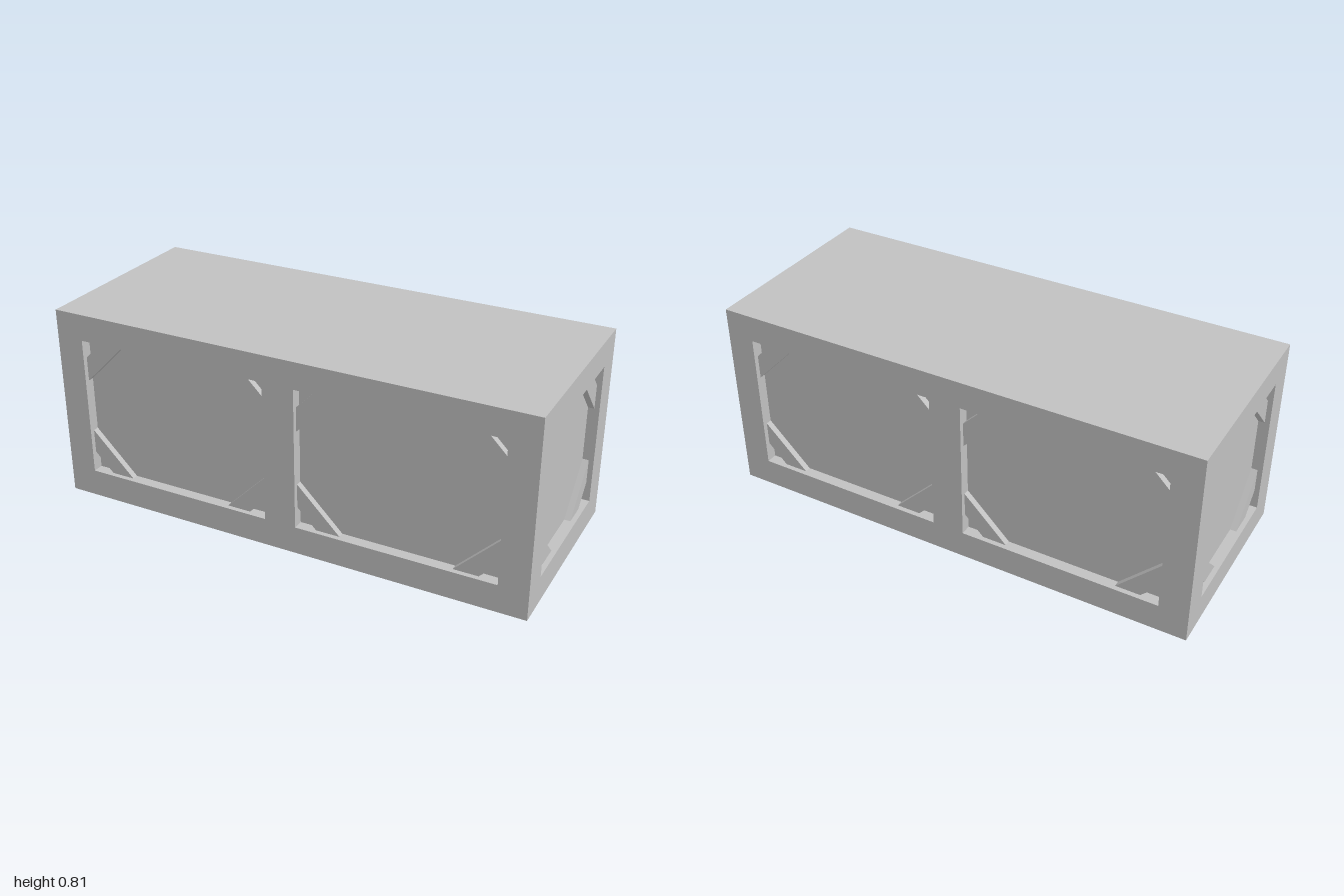
import * as THREE from 'three';

const W = 2, H = 0.81, D = 0.83;       // overall size
const RECESS = 0.045, BRACE = 0.025;   // panel recess and brace thickness
const Y0 = 0.115, Y1 = 0.7;            // bottom and top of every opening

const grey = new THREE.MeshStandardMaterial({ color: 0xc0c0c0 });
grey.name = 'light grey';

function polygon(points, Type = THREE.Shape) {
  return new Type(points.map(([x, y]) => new THREE.Vector2(x, y)));
}

function rect(x0, y0, x1, y1, Type) {
  return polygon([[x0, y0], [x1, y0], [x1, y1], [x0, y1]], Type);
}

function slab(name, shape, depth) {
  const geometry = new THREE.ExtrudeGeometry(shape, { depth, bevelEnabled: false });
  const mesh = new THREE.Mesh(geometry, grey);
  mesh.name = name;
  return mesh;
}

// One wall: a frame with openings and a diagonal brace across each corner
function wall(name, width, openings) {
  const group = new THREE.Group();
  group.name = name;
  const frame = rect(-width / 2, 0, width / 2, H);
  for (const [x0, x1] of openings) {
    frame.holes.push(rect(x0, Y0, x1, Y1, THREE.Path));
    for (const [cx, sx] of [[x0, 1], [x1, -1]]) {
      for (const [cy, sy] of [[Y0, 1], [Y1, -1]]) {
        const band = [[0.08, 0], [0.18, 0], [0, 0.18], [0, 0.08]];
        group.add(slab('cornerBrace', polygon(band.map(([u, v]) => [cx + sx * u, cy + sy * v])), BRACE));
      }
    }
  }
  group.add(slab('wallFrame', frame, RECESS));
  return group;
}

export function createModel() {
  const model = new THREE.Group();
  model.name = 'container';

  // Solid core, whose sides form the recessed panels
  const core = new THREE.Mesh(new THREE.BoxGeometry(W - 2 * RECESS, H, D - 2 * RECESS), grey);
  core.name = 'core';
  core.position.y = H / 2;
  model.add(core);

  // Long walls at front and back, short walls at the ends
  for (const turn of [0, Math.PI]) {
    const long = wall(turn ? 'backWall' : 'frontWall', W, [[-0.885, -0.07], [0.062, 0.882]]);
    long.rotation.y = turn;
    long.position.z = Math.cos(turn) * (D / 2 - RECESS);
    const end = wall(turn ? 'rightEnd' : 'leftEnd', D - 2 * RECESS, [[-0.295, 0.295]]);
    end.rotation.y = turn + Math.PI / 2;
    end.position.x = Math.cos(turn) * (W / 2 - RECESS);
    model.add(long, end);
  }
  return model;
}
